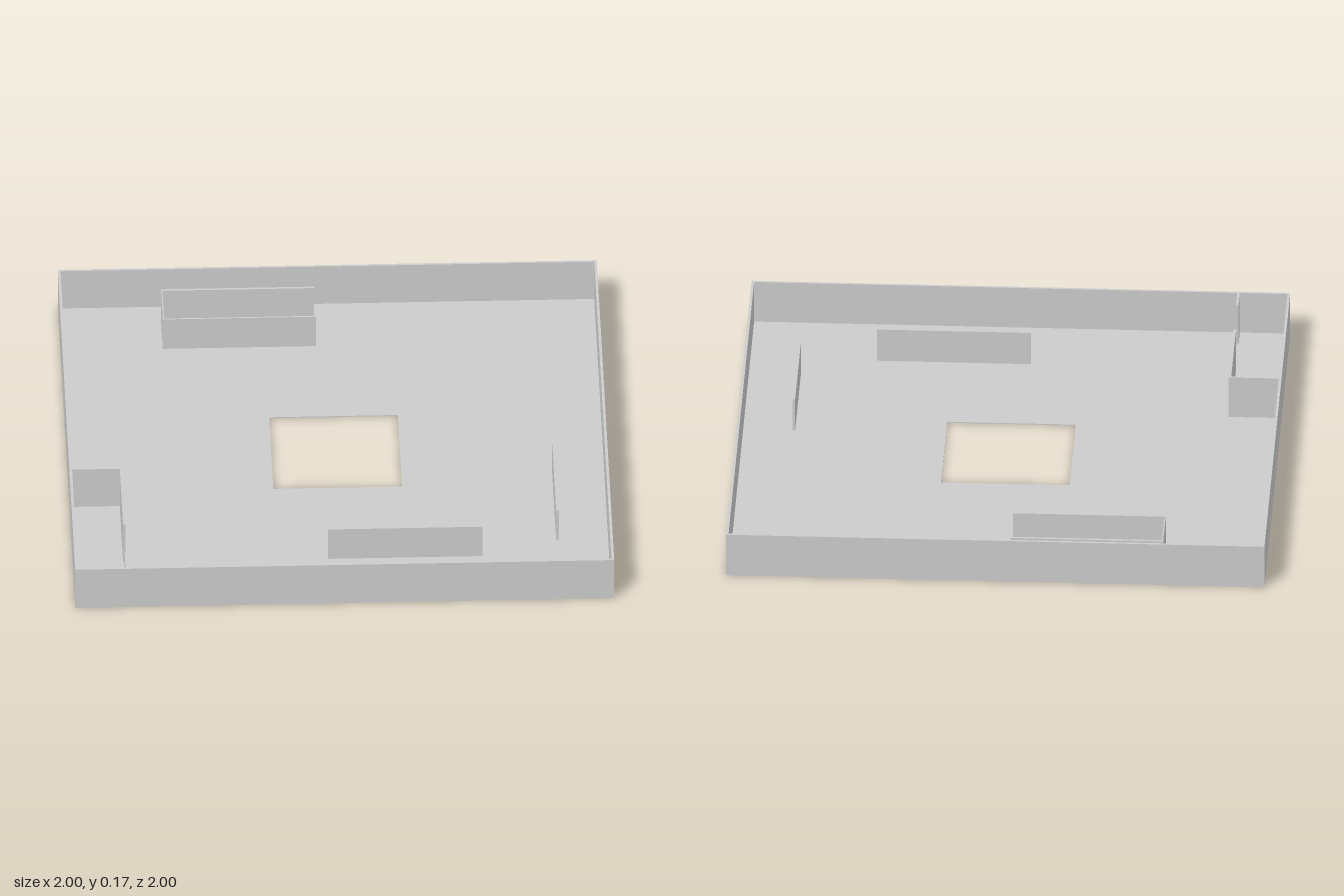
import * as THREE from 'three';

const material = new THREE.MeshStandardMaterial({ color: 0xcccccc, flatShading: true });
const FLOOR = 0.004;

export function createModel() {
  const model = new THREE.Group();
  model.name = 'walledFloorPlan';

  // Upright wall given by its plan extents and its height
  const wall = (name, x0, x1, z0, z1, height) => {
    const mesh = new THREE.Mesh(new THREE.BoxGeometry(x1 - x0, height, z1 - z0), material);
    mesh.position.set((x0 + x1) / 2, height / 2, (z0 + z1) / 2);
    mesh.name = name;
    model.add(mesh);
  };

  // Thin square floor with a central square opening
  const rect = (target, a, b) =>
    target.moveTo(a, a).lineTo(b, a).lineTo(b, b).lineTo(a, b).lineTo(a, a);
  const plan = rect(new THREE.Shape(), -1, 1);
  plan.holes.push(rect(new THREE.Path(), -0.24, 0.237));
  const floorGeometry = new THREE.ExtrudeGeometry(plan, { depth: FLOOR, bevelEnabled: false });
  floorGeometry.rotateX(Math.PI / 2).translate(0, FLOOR, 0);
  const floor = new THREE.Mesh(floorGeometry, material);
  floor.name = 'floor';
  model.add(floor);

  // Perimeter walls
  const H = 0.17, T = 0.01;
  wall('frontOuterWall', -1, 1, 1 - T, 1, H);
  wall('backOuterWall', -1, 1, -1, -1 + T, H);
  wall('leftOuterWall', 1 - T, 1, -1 + T, 1 - T, H);
  wall('rightOuterWall', -1, -1 + T, -1 + T, 1 - T, H);

  // Full-height corner room with a doorway
  wall('roomBackWall', -1 + T, -0.803, 0.325, 0.333, H);
  wall('roomSideWall', -0.813, -0.803, 0.333, 0.705, H);
  wall('roomDoorStub', -0.813, -0.803, 0.895, 1 - T, H);

  // Lower, free-standing partitions
  const P = 0.135;
  wall('alcoveBackWall', -0.62, -0.052, -0.91, -0.9, P);
  wall('alcoveSideWall', -0.62, -0.615, -0.9, -0.715, P);
  wall('alcoveFrontWall', -0.62, -0.052, -0.715, -0.709, P);
  wall('leftPartition', 0.797, 0.807, 0.14, 0.61, P);
  wall('frontPartition', -0.052, 0.52, 0.704, 0.71, P);

  return model;
}
